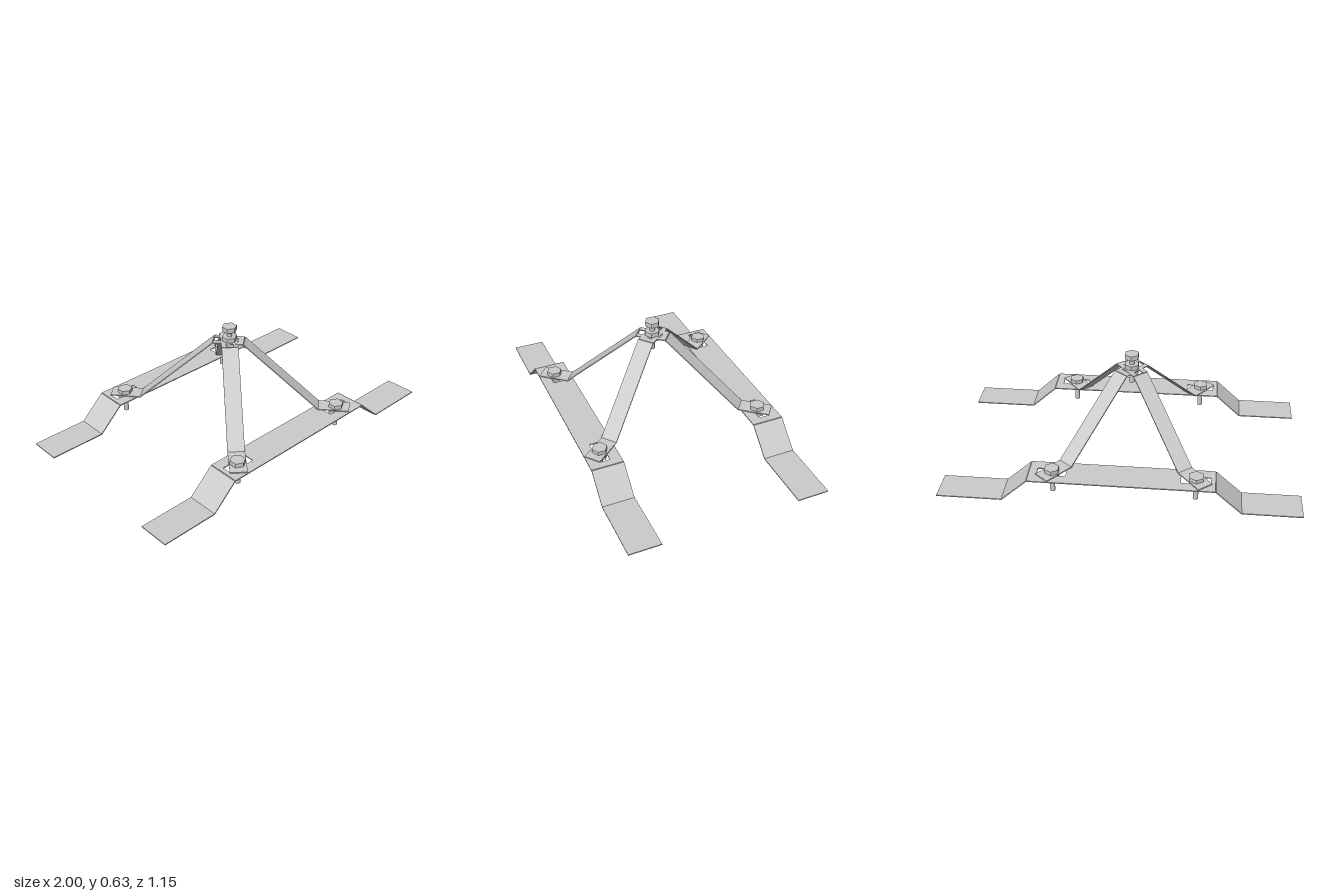
import * as THREE from 'three';
import { mergeGeometries } from 'three/addons/utils/BufferGeometryUtils.js';

const T = 0.006;          // sheet thickness
const CX = -0.028;        // centre of the crossed straps
const BX = 0.393, BZ = 0.482; // bolt offsets from that centre

const metal = new THREE.MeshStandardMaterial({ color: 0xcccccc, flatShading: true });

function rect(Type, u0, u1, v0, v1) {
  const p = new Type();
  p.moveTo(u0, v0);
  p.lineTo(u1, v0);
  p.lineTo(u1, v1);
  p.lineTo(u0, v1);
  p.closePath();
  return p;
}

// Bent sheet strip: path of [x, y] points, slots as [x0, x1, width] cut in level segments
function bentStrip(path, width, slots) {
  const pieces = [];
  for (let i = 0; i < path.length - 1; i++) {
    const [x0, y0] = path[i], [x1, y1] = path[i + 1];
    const shape = rect(THREE.Shape, 0, Math.hypot(x1 - x0, y1 - y0), -width / 2, width / 2);
    for (const [a, b, w] of slots) {
      if (y0 === y1 && a > x0 && b < x1) shape.holes.push(rect(THREE.Path, a - x0, b - x0, -w / 2, w / 2));
    }
    const g = new THREE.ExtrudeGeometry(shape, { depth: T, bevelEnabled: false });
    g.rotateX(-Math.PI / 2);
    g.rotateZ(Math.atan2(y1 - y0, x1 - x0));
    g.translate(x0, y0, 0);
    pieces.push(g);
  }
  return mergeGeometries(pieces);
}

function addMesh(parent, name, geometry) {
  const mesh = new THREE.Mesh(geometry, metal);
  mesh.name = name;
  parent.add(mesh);
  return mesh;
}

// Upright prism between two heights
function prism(parent, name, radius, y0, y1, sides) {
  const g = new THREE.CylinderGeometry(radius, radius, y1 - y0, sides);
  g.translate(0, (y0 + y1) / 2, 0);
  return addMesh(parent, name, g);
}

export function createModel() {
  const model = new THREE.Group();
  model.name = 'crossStrapStand';

  // Two stepped rails with a slot at each bolt
  const railPath = [[-1, 0], [-0.67, 0], [-0.525, 0.134], [0.49, 0.134], [0.635, 0], [1, 0]];
  const railSlots = [-1, 1].map(s => [CX + s * BX - 0.078, CX + s * BX + 0.082, 0.06]);
  const railGeometry = bentStrip(railPath, 0.183, railSlots);
  for (const [name, s] of [['frontRail', 1], ['backRail', -1]]) {
    addMesh(model, name, railGeometry).position.z = s * 0.483;
  }

  // Two raised straps crossing at the top
  const strapPath = [[-0.7, 0.14], [-0.52, 0.14], [-0.085, 0.535], [0.085, 0.535], [0.52, 0.14], [0.7, 0.14]];
  const strapGeometry = bentStrip(strapPath, 0.094, [[-0.082, 0.053, 0.04]]);
  for (const [name, s] of [['strapA', -1], ['strapB', 1]]) {
    const strap = addMesh(model, name, strapGeometry);
    strap.rotation.y = s * Math.atan2(BZ, BX);
    strap.position.set(CX, s > 0 ? 0 : 0.001, 0);
  }

  // Four hex bolts with nuts holding the strap feet
  for (const sx of [-1, 1]) {
    for (const sz of [-1, 1]) {
      const bolt = new THREE.Group();
      bolt.name = (sz > 0 ? 'front' : 'back') + (sx > 0 ? 'Left' : 'Right') + 'Bolt';
      prism(bolt, 'head', 0.043, 0.143, 0.17, 6);
      prism(bolt, 'nut', 0.043, 0.108, 0.134, 6);
      prism(bolt, 'shank', 0.0145, 0.02, 0.15, 16);
      bolt.position.set(CX + sx * BX, 0, sz * BZ);
      model.add(bolt);
    }
  }

  // Centre stud with two nuts and a loose cap above
  const stud = new THREE.Group();
  stud.name = 'centreStud';
  prism(stud, 'lowerNut', 0.043, 0.512, 0.536, 6);
  prism(stud, 'upperNut', 0.043, 0.541, 0.567, 6);
  prism(stud, 'shank', 0.0145, 0.447, 0.588, 16);
  prism(stud, 'looseCap', 0.043, 0.603, 0.63, 6);
  stud.position.set(CX, 0, 0.004);
  model.add(stud);

  return model;
}
